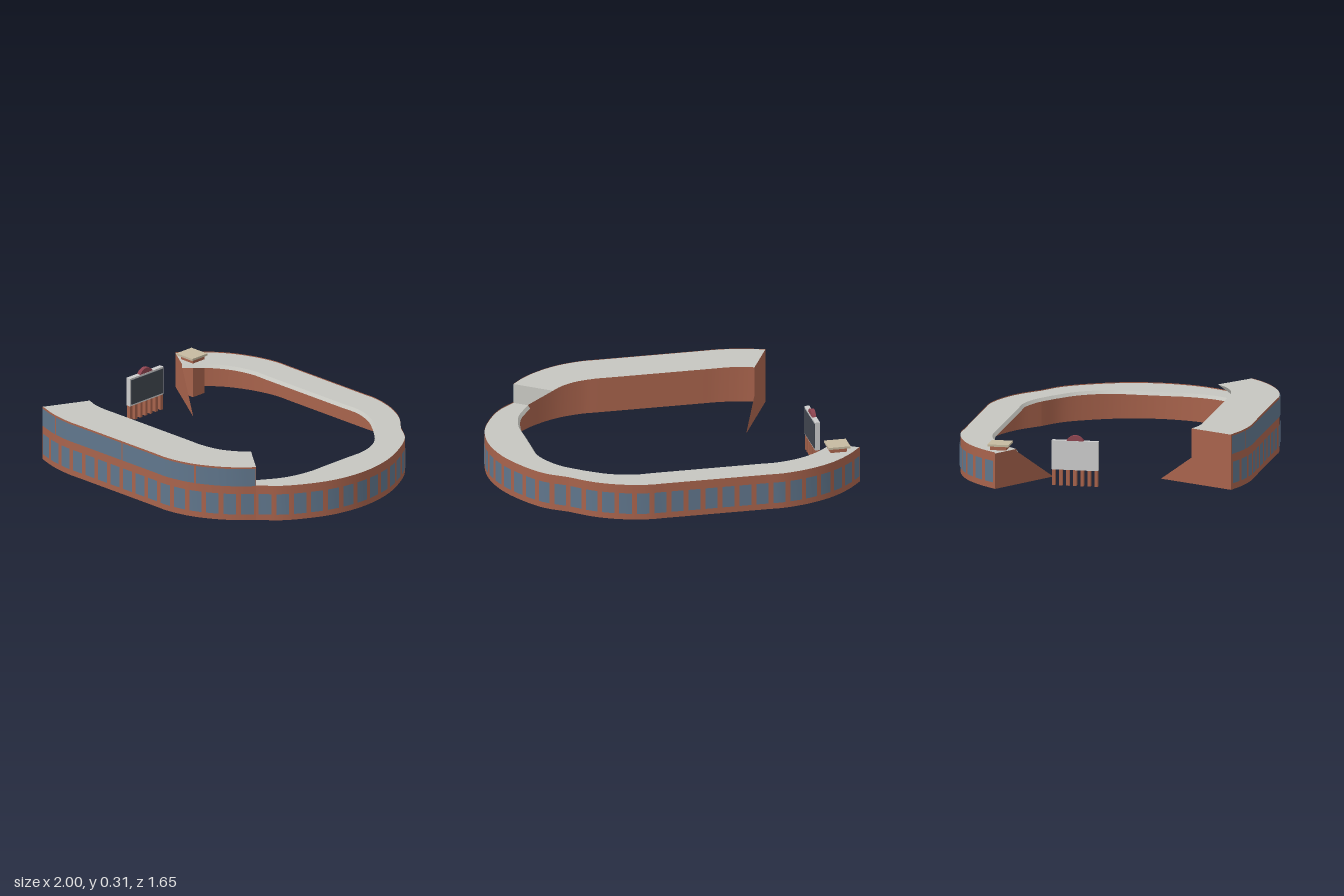
import * as THREE from 'three';

const mat = (name, color, side = THREE.FrontSide) => {
  const m = new THREE.MeshStandardMaterial({ color, side });
  m.name = name;
  return m;
};

export function createModel() {
  const D = THREE.DoubleSide;
  const brick = mat('brick', 0xa8634c, D);
  const glass = mat('blue glass', 0x60768c, D);
  const roofGrey = mat('roof grey', 0xc6c6c0, D);
  const tan = mat('tan', 0xc6baa0);
  const white = mat('frame white', 0xcccccc);
  const dark = mat('dark screen', 0x40464f);
  const red = mat('dark red', 0x8e4450);

  const root = new THREE.Group();
  const add = (name, geo, material, parent = root) => {
    const m = new THREE.Mesh(geo, material);
    m.name = name;
    parent.add(m);
    return m;
  };
  const box = (name, x0, x1, y0, y1, z0, z1, material, parent) => {
    const g = new THREE.BoxGeometry(x1 - x0, y1 - y0, z1 - z0);
    g.translate((x0 + x1) / 2, (y0 + y1) / 2, (z0 + z1) / 2);
    return add(name, g, material, parent);
  };

  // Plan curves run clockwise seen from above, as [x, z] points
  const curve = (pts) => {
    const c = new THREE.CatmullRomCurve3(pts.map(([x, z]) => new THREE.Vector3(x, 0, z)), false, 'centripetal');
    c.arcLengthDivisions = 600;
    return c;
  };
  // Sample part of a curve at a height, pushed outward by off
  const sample = (c, y, n, off = 0, u0 = 0, u1 = 1) => {
    const out = [];
    for (let i = 0; i <= n; i++) {
      const u = u0 + (u1 - u0) * i / n;
      const p = c.getPointAt(u), t = c.getTangentAt(u);
      out.push(new THREE.Vector3(p.x + t.z * off, y, p.z - t.x * off));
    }
    return out;
  };
  // Ribbon between two equally long point rows
  const ribbon = (a, b) => {
    const pos = [], idx = [];
    a.forEach((p, i) => {
      pos.push(p.x, p.y, p.z, b[i].x, b[i].y, b[i].z);
      if (i) { const k = 2 * i; idx.push(k - 2, k, k - 1, k - 1, k, k + 1); }
    });
    const g = new THREE.BufferGeometry();
    g.setAttribute('position', new THREE.Float32BufferAttribute(pos, 3));
    g.setIndex(idx);
    g.computeVertexNormals();
    return g;
  };
  const band = (name, c, y0, y1, material, off = 0, u0 = 0, u1 = 1, n = 48, parent = root) =>
    add(name, ribbon(sample(c, y1, n, off, u0, u1), sample(c, y0, n, off, u0, u1)), material, parent);

  const windows = (name, c) => {
    const g = new THREE.Group();
    g.name = name;
    const len = c.getLength(), n = Math.round(len / 0.097);
    for (let i = 0; i < n; i++)
      band('window', c, 0.035, 0.157, glass, 0.004, (i + 0.14) / n, (i + 0.86) / n, 3, g);
    root.add(g);
  };

  // Upright flat panel standing on a plan line, profile as [distance, y]
  const panel = (name, from, to, profile, material) => {
    const dx = to[0] - from[0], dz = to[1] - from[1], l = Math.hypot(dx, dz);
    const g = new THREE.ShapeGeometry(new THREE.Shape(profile.map(([d, y]) => new THREE.Vector2(d, y))));
    g.rotateY(Math.atan2(-dz / l, dx / l));
    g.translate(from[0], 0, from[1]);
    return add(name, g, material);
  };

  // Low stand: back section and right end section
  const low = [
    ['backStand',
      curve([[-1, -0.525], [-0.92, -0.62], [-0.8, -0.72], [-0.65, -0.79], [-0.5, -0.823], [-0.4, -0.823], [0.18, -0.823],
        [0.27, -0.823], [0.42, -0.787], [0.56, -0.715], [0.68, -0.61]]),
      curve([[-0.86, -0.435], [-0.75, -0.54], [-0.63, -0.61], [-0.5, -0.642], [-0.4, -0.642], [0.2, -0.642],
        [0.32, -0.642], [0.45, -0.6], [0.57, -0.52]])],
    ['rightStand',
      curve([[0.68, -0.61], [0.8, -0.52], [0.9, -0.37], [0.97, -0.2], [0.998, 0], [0.97, 0.2], [0.9, 0.36],
        [0.82, 0.48], [0.72, 0.57]]),
      curve([[0.57, -0.52], [0.68, -0.42], [0.75, -0.3], [0.775, -0.2], [0.775, -0.1], [0.775, 0.1], [0.775, 0.2],
        [0.74, 0.36], [0.65, 0.515]])],
  ];
  for (const [name, outer, inner] of low) {
    band(name + 'Wall', outer, 0, 0.206, brick);
    windows(name + 'Windows', outer);
    add(name + 'Roof', ribbon(sample(outer, 0.201, 48), sample(inner, 0.201, 48)), roofGrey);
    add(name + 'Fascia', ribbon(sample(inner, 0.201, 48), sample(inner, 0.183, 48, -0.013)), roofGrey);
  }

  // Tall front stand
  const tallOuter = curve([[0.72, 0.57], [0.65, 0.645], [0.56, 0.715], [0.42, 0.787], [0.27, 0.82], [0.18, 0.82],
    [-0.4, 0.82], [-0.5, 0.82], [-0.63, 0.802], [-0.76, 0.762]]);
  const tallInner = curve([[0.53, 0.42], [0.47, 0.475], [0.38, 0.523], [0.26, 0.545], [0.18, 0.545],
    [-0.4, 0.545], [-0.5, 0.545], [-0.57, 0.537], [-0.64, 0.512]]);
  band('tallStandWall', tallOuter, 0, 0.315, brick);
  windows('tallStandWindows', tallOuter);
  const cuts = [0, 0.22, 0.56, 0.9, 1];
  for (let i = 0; i < 4; i++)
    band('upperGlazing', tallOuter, 0.203, 0.306, glass, 0.004, cuts[i] + 0.003, cuts[i + 1] - 0.003, 20);
  add('tallStandRoof', ribbon(sample(tallOuter, 0.313, 48), sample(tallInner, 0.313, 48)), roofGrey);

  // End panels with their slope running down to the ground
  panel('tallStandEnd', [-0.76, 0.762], [-0.64, 0.512],
    [[0, 0], [0.49, 0], [0.277, 0.147], [0.277, 0.313], [0, 0.313]], brick);
  panel('backStandEnd', [-1, -0.525], [-0.86, -0.435],
    [[0, 0], [0.46, 0], [0.167, 0.19], [0.167, 0.201], [0, 0.201]], brick);
  panel('stepPanel', [0.72, 0.57], [0.53, 0.42],
    [[0, 0.2], [0.085, 0.2], [0.242, 0.313], [0, 0.313]], roofGrey);

  // Corner tower with a flat cap
  box('towerBody', -0.915, -0.82, 0, 0.224, -0.572, -0.482, brick);
  box('towerCap', -0.932, -0.808, 0.224, 0.236, -0.583, -0.465, tan);

  // Scoreboard on a row of posts
  const board = new THREE.Group();
  board.name = 'scoreboard';
  root.add(board);
  box('boardFrame', -0.838, -0.81, 0.09, 0.255, -0.24, 0.023, white, board);
  box('boardScreen', -0.811, -0.806, 0.1, 0.245, -0.232, 0.015, dark, board);
  for (let i = 0; i < 7; i++) {
    const z = -0.228 + i * 0.04;
    box('boardPost', -0.836, -0.812, 0, 0.09, z - 0.009, z + 0.009, brick, board);
  }
  const disc = new THREE.CylinderGeometry(0.055, 0.055, 0.024, 24);
  disc.rotateZ(Math.PI / 2);
  disc.translate(-0.824, 0.23, -0.108);
  add('boardCrest', disc, red, board);

  return root;
}
